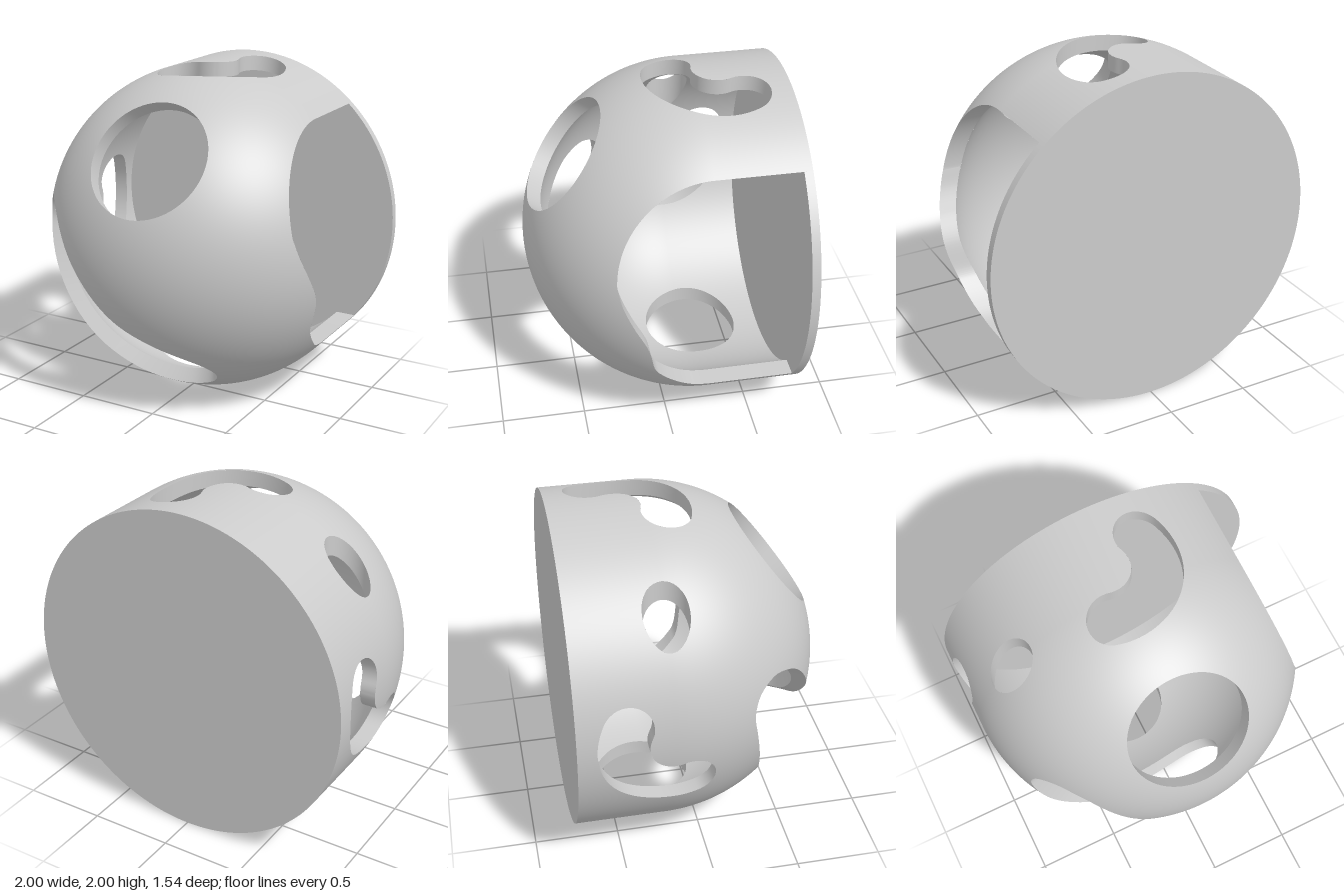
import * as THREE from 'three';
import { toCreasedNormals } from 'three/addons/utils/BufferGeometryUtils.js';

const OUTER = 1, INNER = 0.91, BACK = -0.49, PLATE = 0.05;
const V = (x, y, z) => new THREE.Vector3(x, y, z);
const X = V(1, 0, 0), Y = V(0, 1, 0), Z = V(0, 0, 1);

// Distance from the axis of a round-nosed cylinder along z
const radius = p => Math.hypot(p.x, p.y, Math.max(p.z, 0));

// ---- Flat outlines of the openings ----
const circle = (x, y, r) => new THREE.Path().absarc(x, y, r, 0, Math.PI * 2).getPoints(36);

function kidney(cx, cy, a0, a1, r = 0.287, w = 0.143) {
  const d = Math.PI / 180, p = new THREE.Path();
  a0 *= d; a1 *= d;
  const cap = a => [cx + r * Math.cos(a), cy + r * Math.sin(a), w];
  p.absarc(cx, cy, r + w, a0, a1, false);
  p.absarc(...cap(a1), a1, a1 + Math.PI, false);
  p.absarc(cx, cy, r - w, a1, a0, true);
  p.absarc(...cap(a0), a0 + Math.PI, a0 + Math.PI * 2, false);
  return p.getPoints(12);
}

// Big side opening: straight at the back, rounded with a wavy front edge
function sideOutline() {
  const p = new THREE.Path();
  p.moveTo(BACK - 0.02, -0.635);
  p.lineTo(0, -0.635);
  p.splineThru([[0.11, -0.62], [0.21, -0.56], [0.3, -0.48], [0.352, -0.4], [0.395, -0.215], [0.475, -0.056], [0.53, 0.07], [0.555, 0.18]]
    .map(a => new THREE.Vector2(...a)));
  p.absarc(0, 0.18, 0.555, 0, Math.PI / 2, false);
  p.lineTo(BACK - 0.02, 0.735);
  p.closePath();
  return p.getPoints(24);
}

// An opening is an outline in the plane (u, v), cut along n;
// a radial one widens outward from the centre.
const opening = (name, n, u, v, outline, radial = false) => ({ name, n, u, v, outline, radial });

function makeOpenings() {
  const nc = V(0, 0.606, 0.795).normalize();
  const nb = V(-0.5, -0.45, 0.74).normalize();
  const ub = Y.clone().cross(nb).normalize(), vb = nb.clone().cross(ub);
  // Long front slot, given as seen from the front on the dome
  const slot = new THREE.CatmullRomCurve3([
    [-0.87, -0.08], [-0.882, 0.05], [-0.85, 0.16], [-0.77, 0.22], [-0.68, 0.19], [-0.607, 0.126],
    [-0.39, -0.14], [-0.15, -0.37], [0.06, -0.484], [0.24, -0.57], [0.335, -0.64], [0.36, -0.72],
    [0.31, -0.795], [0.21, -0.845], [0.09, -0.865], [-0.2, -0.82], [-0.47, -0.67], [-0.74, -0.4],
  ].map(([x, y]) => V(x, y, Math.sqrt(1 - x * x - y * y))), true).getPoints(100)
    .map(p => new THREE.Vector2(p.dot(ub), p.dot(vb)).divideScalar(p.dot(nb)));
  return [
    opening('leftOpening', X, Z, Y, sideOutline()),
    opening('rightKidneyHole', X.clone().negate(), Z, Y, kidney(0, 0, -206, -71)),
    opening('topKidneyHole', Y, X, Z, kidney(-0.07, -0.16, -24, 107)),
    opening('smallTopHole', Y, X, Z, circle(-0.73, 0, 0.13)),
    opening('bottomHole', Y.clone().negate(), X, Z, circle(-0.085, -0.05, 0.29)),
    opening('frontRoundHole', nc, X, nc.clone().cross(X), circle(0, 0, 0.363)),
    opening('frontSlot', nb, ub, vb, slot, true),
  ];
}

// Signed distance to an outline, negative inside
function outlineDistance(pts, x, y) {
  let best = Infinity, inside = false;
  for (let i = 0, j = pts.length - 1; i < pts.length; j = i++) {
    const a = pts[i], b = pts[j], ex = b.x - a.x, ey = b.y - a.y, wx = x - a.x, wy = y - a.y;
    const t = Math.min(1, Math.max(0, (wx * ex + wy * ey) / (ex * ex + ey * ey || 1)));
    best = Math.min(best, (wx - ex * t) ** 2 + (wy - ey * t) ** 2);
    if ((a.y > y) !== (b.y > y) && x < a.x + ex * (y - a.y) / ey) inside = !inside;
  }
  return Math.sqrt(best) * (inside ? -1 : 1);
}

function clearance(p, openings) {
  let d = 10;
  for (const o of openings) {
    const h = p.dot(o.n);
    if (h <= 0.01) continue;
    const k = o.radial ? 1 / h : 1;
    d = Math.min(d, outlineDistance(o.outline, p.dot(o.u) * k, p.dot(o.v) * k));
  }
  return d;
}

// Dome and barrel skin of radius R, trimmed at the openings
function skin(R, openings, inward) {
  const DOME = 72, BARREL = 22, COLS = 200, rows = [], pos = [], nor = [];
  for (let i = 0; i <= DOME + BARREL; i++) {
    const phi = Math.min(i / DOME, 1) * Math.PI / 2;
    const z = i <= DOME ? R * Math.cos(phi) : BACK * (i - DOME) / BARREL;
    const row = [];
    for (let j = 0; j < COLS; j++) {
      const a = j / COLS * Math.PI * 2, s = R * Math.sin(phi);
      const p = V(s * Math.cos(a), s * Math.sin(a), z);
      row.push({ p, d: clearance(p, openings) });
    }
    rows.push(row);
  }
  const put = p => {
    const n = V(p.x, p.y, Math.max(p.z, 0)).normalize().multiplyScalar(inward ? -1 : 1);
    pos.push(p.x, p.y, p.z);
    nor.push(n.x, n.y, n.z);
  };
  const trim = tri => {
    const kept = [];
    tri.forEach((a, i) => {
      const b = tri[(i + 1) % 3];
      if (a.d >= 0) kept.push(a.p);
      if ((a.d >= 0) !== (b.d >= 0)) kept.push(a.p.clone().lerp(b.p, a.d / (a.d - b.d)));
    });
    if (inward) kept.reverse();
    for (let k = 2; k < kept.length; k++) [kept[0], kept[k - 1], kept[k]].forEach(put);
  };
  for (let i = 0; i < DOME + BARREL; i++) {
    for (let j = 0; j < COLS; j++) {
      const k = (j + 1) % COLS;
      const a = rows[i][j], b = rows[i + 1][j], c = rows[i + 1][k], d = rows[i][k];
      trim([a, b, c]);
      if (i > 0) trim([a, c, d]);
    }
  }
  const g = new THREE.BufferGeometry();
  g.setAttribute('position', new THREE.Float32BufferAttribute(pos, 3));
  g.setAttribute('normal', new THREE.Float32BufferAttribute(nor, 3));
  return g;
}

// Cut wall of an opening, from the inner skin to the outer one
function cutWall(o) {
  const reach = (q, R) => {
    const base = o.u.clone().multiplyScalar(q.x).addScaledVector(o.v, q.y);
    const at = t => o.radial ? base.clone().add(o.n).multiplyScalar(t) : base.clone().addScaledVector(o.n, t);
    let lo = 0, hi = 1.2;
    for (let i = 0; i < 40; i++) {
      const mid = (lo + hi) / 2;
      if (radius(at(mid)) < R) lo = mid; else hi = mid;
    }
    return at(lo);
  };
  const pos = [], index = [], n = o.outline.length;
  o.outline.forEach((q, i) => {
    pos.push(...reach(q, INNER).toArray(), ...reach(q, OUTER).toArray());
    const a = 2 * i, b = 2 * ((i + 1) % n);
    index.push(a, b, b + 1, a, b + 1, a + 1);
  });
  const g = new THREE.BufferGeometry();
  g.setAttribute('position', new THREE.Float32BufferAttribute(pos, 3));
  g.setIndex(index);
  return toCreasedNormals(g, 0.6);
}

export function createModel() {
  const group = new THREE.Group();
  group.name = 'hollowDome';
  const grey = new THREE.MeshStandardMaterial({ color: 0xcccccc });
  const thin = new THREE.MeshStandardMaterial({ color: 0xcccccc, side: THREE.DoubleSide });
  const add = (name, geometry, material = grey) => {
    geometry.translate(0, 1, -0.23);
    const mesh = new THREE.Mesh(geometry, material);
    mesh.name = name;
    group.add(mesh);
  };
  const openings = makeOpenings();
  add('outerShell', skin(OUTER, openings, false));
  add('innerShell', skin(INNER, openings, true));
  for (const o of openings) add(o.name + 'Wall', cutWall(o), thin);
  // Closed back plate
  const plate = new THREE.CylinderGeometry(OUTER, OUTER, PLATE, 200).rotateX(Math.PI / 2);
  add('backPlate', plate.translate(0, 0, BACK - PLATE / 2));
  return group;
}
